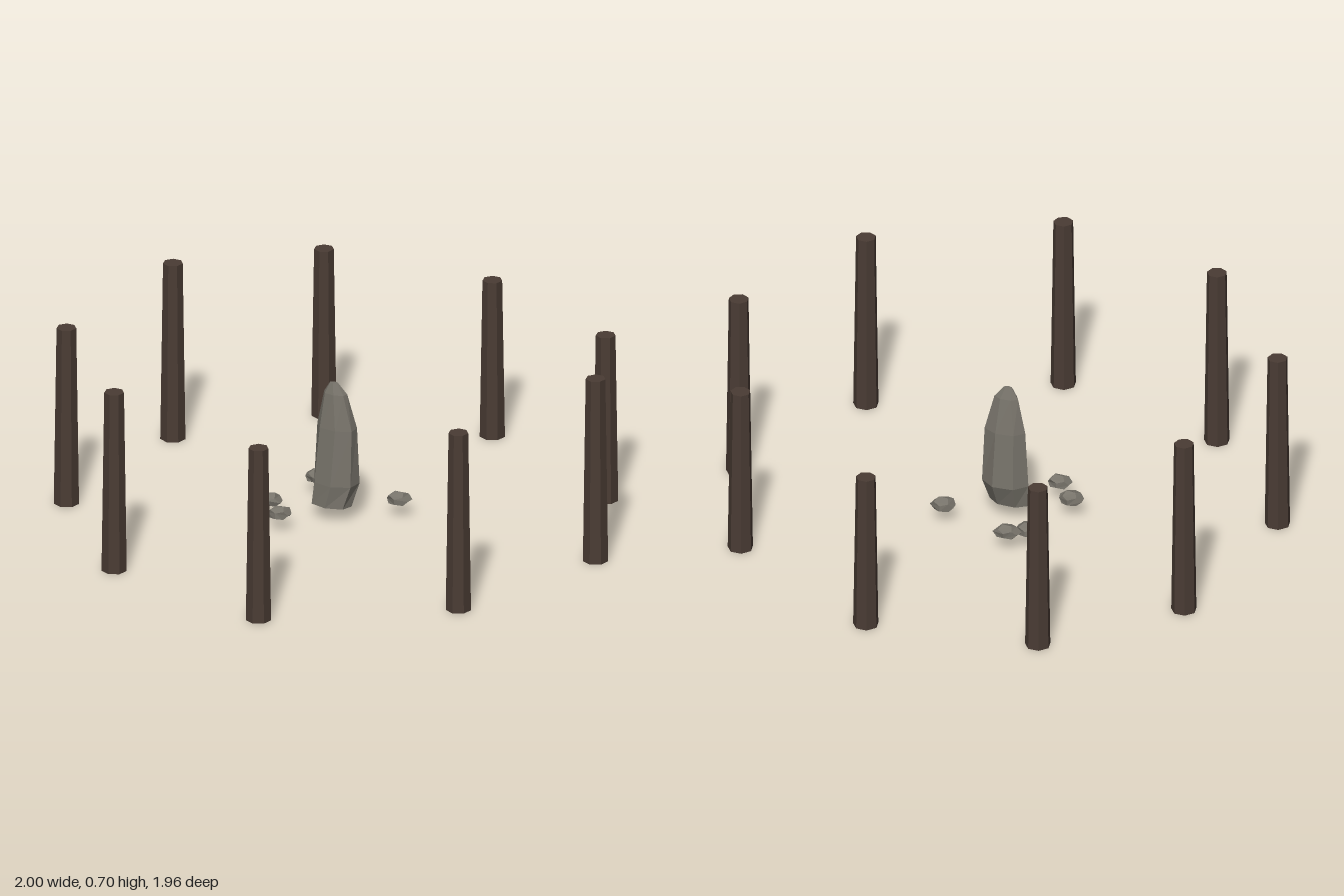
import * as THREE from 'three';

// Split a geometry into separate facets with flat normals
function facet(geometry) {
  const g = geometry.index ? geometry.toNonIndexed() : geometry;
  g.computeVertexNormals();
  return g;
}

// Repeatable variation in -1..1 taken from a vertex position and a seed
function vary(x, y, z, seed) {
  const s = Math.sin(Math.round(x * 50) * 1.7 + Math.round(y * 50) * 2.9 + Math.round(z * 50) * 4.3 + seed * 7.1) * 439.7;
  return (s - Math.floor(s)) * 2 - 1;
}

// Tall stone: a seven-sided column reshaped by sections from bottom to top
function standingStoneGeometry() {
  // [y, centre x, half width, centre z, half depth, twist]
  const sections = [
    [0.055, -0.057, 0.079, -0.006, 0.047, 0],
    [0.14, -0.045, 0.089, -0.021, 0.064, 0.12],
    [0.35, -0.041, 0.078, -0.021, 0.046, 0.2],
    [0.48, -0.045, 0.046, -0.017, 0.024, 0.1],
    [0.52, -0.05, 0.016, -0.016, 0.009, 0],
  ];
  const g = new THREE.CylinderGeometry(1, 1, 1, 7, 4);
  const p = g.attributes.position;
  for (let i = 0; i < p.count; i++) {
    const row = Math.round((p.getY(i) + 0.5) * 4);
    const [y, cx, hw, cz, hd, twist] = sections[row];
    const c = Math.cos(twist), s = Math.sin(twist);
    const x = p.getX(i) * c + p.getZ(i) * s;
    const z = p.getZ(i) * c - p.getX(i) * s;
    p.setXYZ(i, cx + x * hw, y, cz + z * hd);
  }
  return facet(g);
}

// Small squat stone with a flat underside
function smallStoneGeometry(rx, rz, seed) {
  const g = new THREE.DodecahedronGeometry(1);
  const p = g.attributes.position;
  for (let i = 0; i < p.count; i++) {
    const x = p.getX(i), y = p.getY(i), z = p.getZ(i);
    const k = 1 + 0.1 * vary(x, y, z, seed);
    p.setXYZ(i, x * rx * k, Math.max(0, 0.015 + y * 0.027 * k), z * rz * k);
  }
  return facet(g);
}

export function createModel() {
  const model = new THREE.Group();
  const wood = new THREE.MeshStandardMaterial({ color: 0x4a3c34 });
  wood.name = 'darkWood';
  const stone = new THREE.MeshStandardMaterial({ color: 0x77736a });
  stone.name = 'greyStone';

  const add = (name, geometry, material, x = 0, y = 0, z = 0) => {
    const mesh = new THREE.Mesh(geometry, material);
    mesh.name = name;
    mesh.position.set(x, y, z);
    model.add(mesh);
    return mesh;
  };

  // Ring of tapered posts: [x, z, height]
  const posts = [
    [0.955, -0.09, 0.70], [0.725, 0.53, 0.68], [0.135, 0.935, 0.66],
    [-0.527, 0.765, 0.685], [-0.957, 0.295, 0.675], [-0.89, -0.405, 0.675],
    [-0.51, -0.84, 0.64], [0.11, -0.94, 0.60], [0.735, -0.6, 0.635],
  ];
  posts.forEach(([x, z, h], i) => {
    add(`post${i + 1}`, facet(new THREE.CylinderGeometry(0.036, 0.046, h, 7)), wood, x, h / 2, z);
  });

  // Central upright stone
  add('standingStone', standingStoneGeometry(), stone);

  // Scattered small stones: [x, z, half width, half depth]
  const smallStones = [
    [-0.203, -0.19, 0.05, 0.044], [-0.138, -0.235, 0.049, 0.041],
    [0.147, -0.138, 0.047, 0.041], [-0.255, 0.077, 0.049, 0.041],
    [-0.171, 0.171, 0.045, 0.039],
  ];
  smallStones.forEach(([x, z, rx, rz], i) => {
    add(`smallStone${i + 1}`, smallStoneGeometry(rx, rz, i + 1), stone, x, 0.05, z);
  });

  return model;
}
